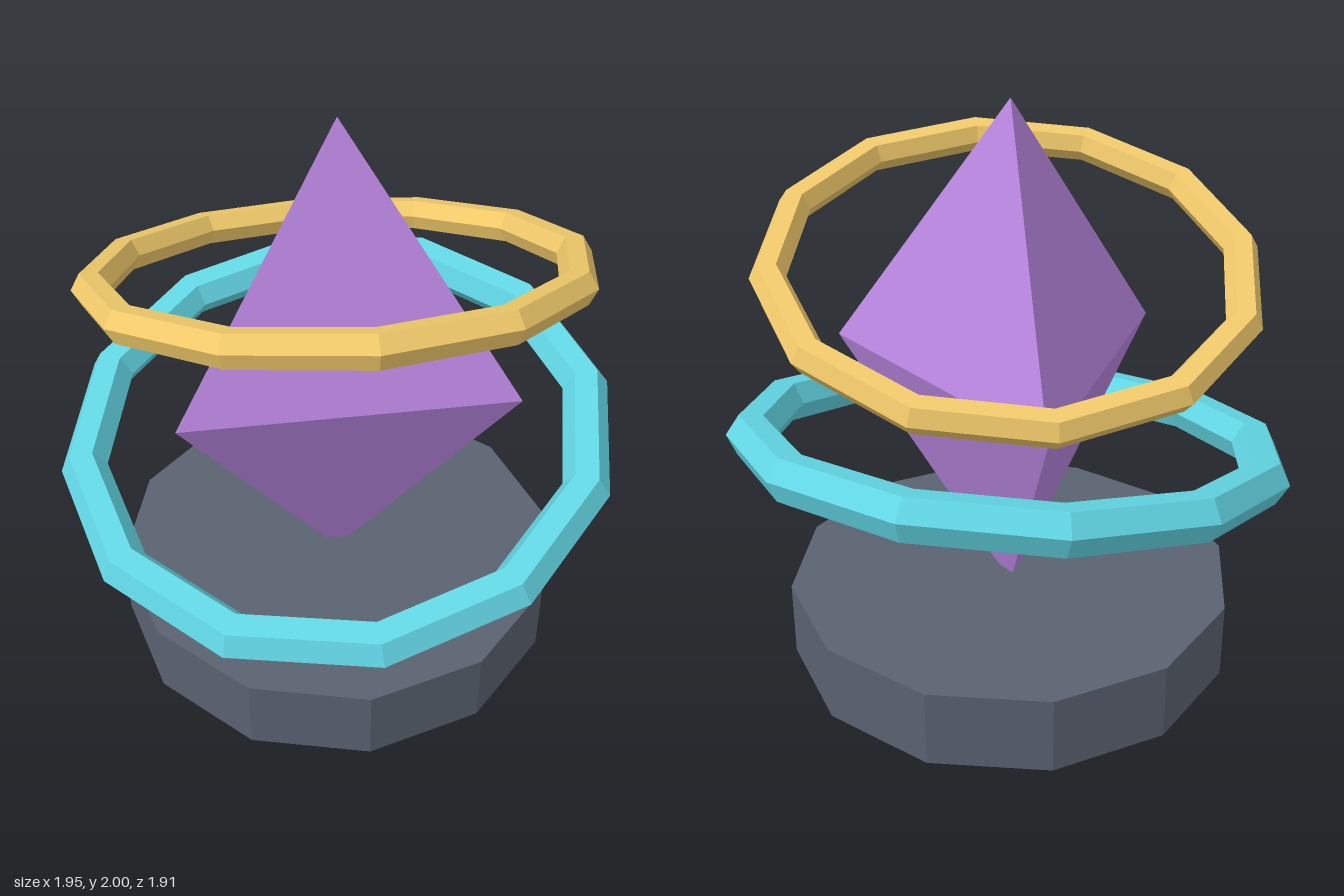
import * as THREE from 'three';

const paint = (color) => new THREE.MeshStandardMaterial({ color, flatShading: true });

function addMesh(group, name, geometry, color, y) {
  const mesh = new THREE.Mesh(geometry, paint(color));
  mesh.name = name;
  mesh.position.y = y;
  group.add(mesh);
  return mesh;
}

// Faceted ring lying flat, then tilted so its axis follows the given direction
function addRing(group, name, color, y, radius, tube, axis) {
  const geometry = new THREE.TorusGeometry(radius, tube, 6, 12).rotateX(Math.PI / 2);
  const ring = addMesh(group, name, geometry, color, y);
  ring.quaternion.setFromUnitVectors(new THREE.Vector3(0, 1, 0), axis.normalize());
}

export function createModel() {
  const model = new THREE.Group();
  model.name = 'floatingCrystal';

  // Twelve-sided pedestal
  addMesh(model, 'base', new THREE.CylinderGeometry(0.795, 0.795, 0.275, 12), 0x5a6270, 0.1375);

  // Three-sided crystal: two pyramids sharing a waist, one corner towards +x
  const crystal = new THREE.Group();
  crystal.name = 'crystal';
  crystal.position.y = 1.105;
  model.add(crystal);
  const h = 0.895;
  const upper = new THREE.ConeGeometry(0.65, h, 3, 1, true).rotateY(Math.PI / 2);
  const lower = new THREE.CylinderGeometry(0.65, 0, h, 3, 1, true).rotateY(Math.PI / 2);
  addMesh(crystal, 'crystalTop', upper, 0xb986e0, h / 2);
  addMesh(crystal, 'crystalBottom', lower, 0xb986e0, -h / 2);

  // Tilted orbiting rings
  addRing(model, 'lowerRing', 0x62d6e4, 0.8, 0.895, 0.081, new THREE.Vector3(0, 0.98, 0.2));
  addRing(model, 'upperRing', 0xf0c96a, 1.455, 0.79, 0.06, new THREE.Vector3(-0.147, 0.955, -0.26));

  return model;
}
